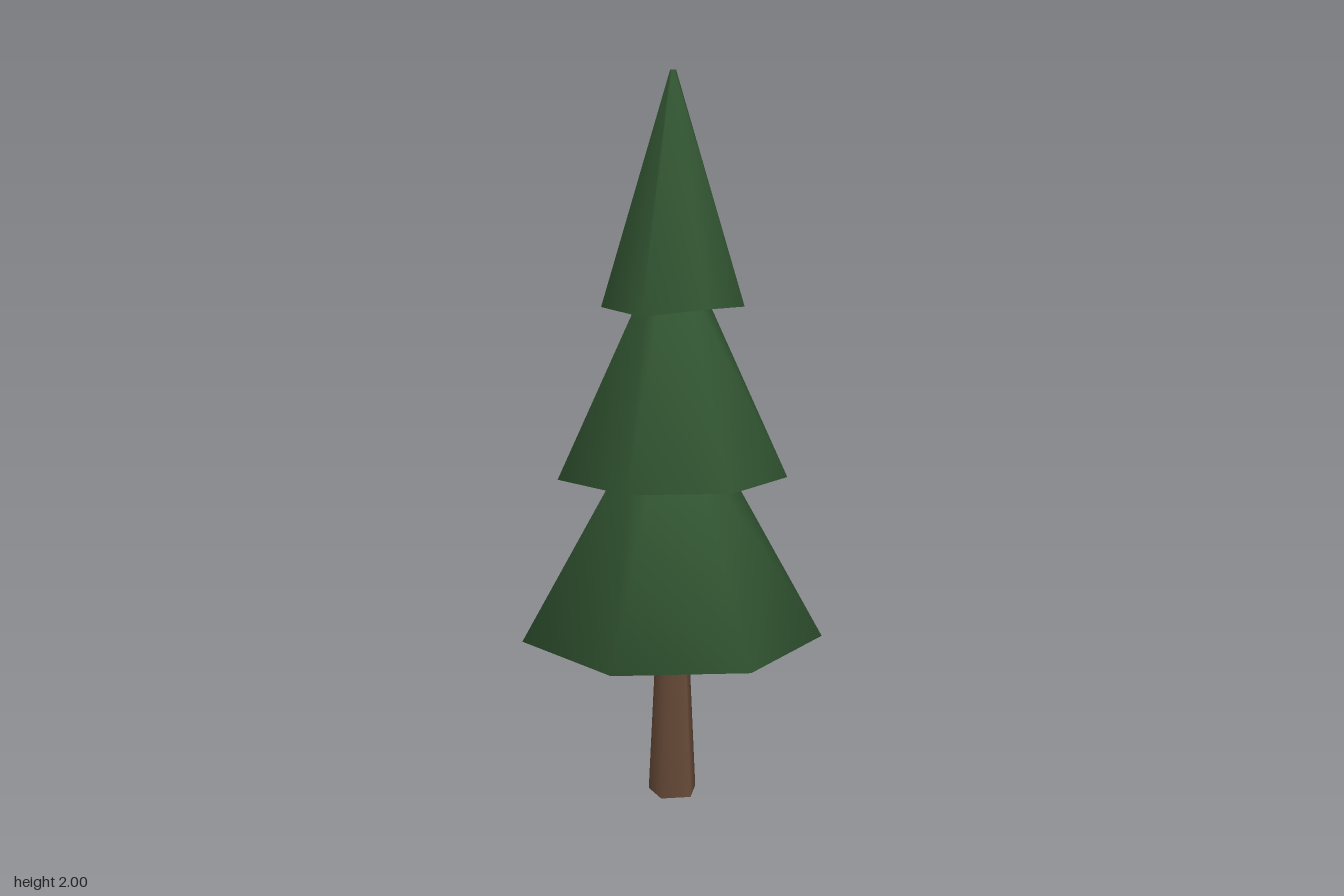
import * as THREE from 'three';
import { mergeVertices } from 'three/addons/utils/BufferGeometryUtils.js';

const foliage = new THREE.MeshStandardMaterial({ color: 0x355a35, side: THREE.DoubleSide });
foliage.name = 'foliage green';
const bark = new THREE.MeshStandardMaterial({ color: 0x674a38 });
bark.name = 'bark brown';

// Six-sided tier, narrower in z, with corners on the x axis.
// The profile runs from the hollow underside, out to the rim and up to the top.
function tierGeometry(profile, droop) {
  const points = profile.map(([r, y]) => new THREE.Vector2(r, y));
  let geo = new THREE.LatheGeometry(points, 6, Math.PI / 6);
  geo.deleteAttribute('normal');
  geo.deleteAttribute('uv');
  geo = mergeVertices(geo, 1e-4);
  const p = geo.attributes.position;
  const rimY = profile[1][1];
  for (let i = 0; i < p.count; i++) {
    const x = p.getX(i), z = p.getZ(i);
    if (Math.abs(z) > 0.001) p.setX(i, x * 0.86);
    p.setZ(i, z * 0.866);
    // One front corner of the rim may hang slightly lower
    if (droop && Math.abs(p.getY(i) - rimY) < 0.001 && z > 0.01 && x < 0) {
      p.setXYZ(i, p.getX(i) - 0.01, rimY - droop, p.getZ(i) + 0.01);
    }
  }
  // Normals are shared over the rim, so the edges shade softly
  geo.computeVertexNormals();
  return geo;
}

export function createModel() {
  const tree = new THREE.Group();
  tree.name = 'pineTree';

  // Tapered five-sided trunk ending in the hollow of the lowest tier
  const trunkHeight = 0.66;
  const trunk = new THREE.Mesh(
    new THREE.CylinderGeometry(0.038, 0.071, trunkHeight, 5, 1, false, THREE.MathUtils.degToRad(40)), bark);
  trunk.name = 'trunk';
  trunk.position.y = trunkHeight / 2;
  tree.add(trunk);

  // Foliage tiers: [radius, height] of the underside, rim and top, then the droop
  [
    ['lowerTier', [[0.03, 0.61], [0.422, 0.447], [0.11, 1.01]], 0],
    ['middleTier', [[0.1, 1.0], [0.318, 0.905], [0.065, 1.46]], 0],
    ['upperTier', [[0.06, 1.45], [0.195, 1.377], [0.008, 2]], 0.018],
  ].forEach(([name, profile, droop]) => {
    const tier = new THREE.Mesh(tierGeometry(profile, droop), foliage);
    tier.name = name;
    tree.add(tier);
  });

  return tree;
}
